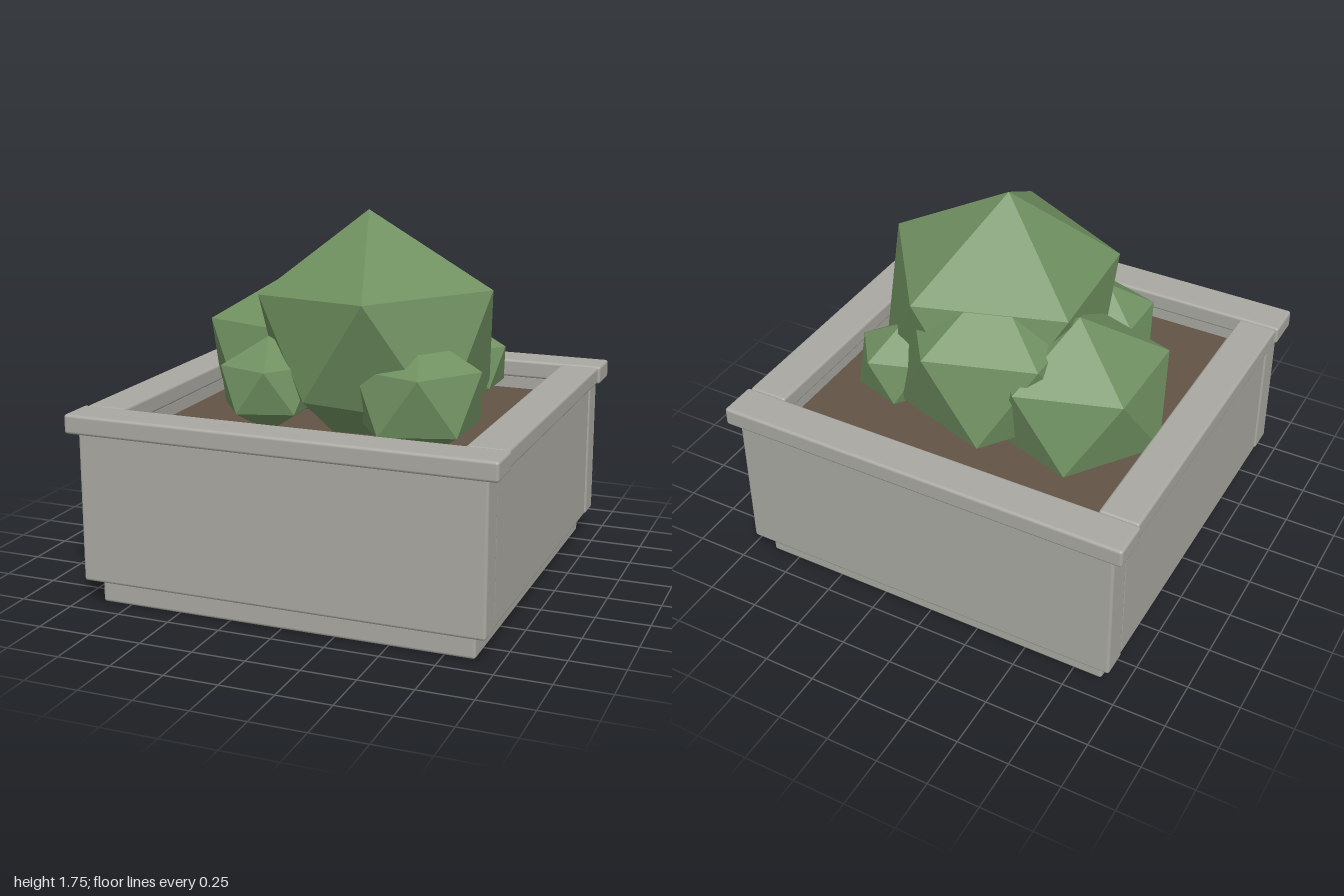
import * as THREE from 'three';
import { RoundedBoxGeometry } from 'three/addons/geometries/RoundedBoxGeometry.js';

const stone = new THREE.MeshStandardMaterial({ color: 0xa9a8a2 });
stone.name = 'stone';
const soilBrown = new THREE.MeshStandardMaterial({ color: 0x625345 });
soilBrown.name = 'soilBrown';
const leafGreen = new THREE.MeshStandardMaterial({ color: 0x6f9060, flatShading: true });
leafGreen.name = 'leafGreen';

// Box with softened edges, given by its min and max corners
function slab(name, [x0, y0, z0], [x1, y1, z1]) {
  const mesh = new THREE.Mesh(
    new RoundedBoxGeometry(x1 - x0, y1 - y0, z1 - z0, 2, 0.014), stone);
  mesh.position.set((x0 + x1) / 2, (y0 + y1) / 2, (z0 + z1) / 2);
  mesh.name = name;
  return mesh;
}

// Twenty-sided clump standing on one corner; pulls scale single corners inwards
// (0 top, 1-5 upper ring, 6-10 lower ring, 11 bottom)
function clump(name, radius, squash, position, pulls = {}) {
  const points = [new THREE.Vector3(0, 1, 0)];
  for (const [h, turn] of [[1, 0], [-1, 0.5]]) {
    for (let i = 0; i < 5; i++) {
      const a = (i + turn) * Math.PI * 0.4;
      points.push(new THREE.Vector3(2 * Math.cos(a), h, 2 * Math.sin(a)).normalize());
    }
  }
  points.push(new THREE.Vector3(0, -1, 0));
  points.forEach((p, i) => p.multiplyScalar(radius * (pulls[i] ?? 1)).multiply(new THREE.Vector3(1, squash, 1)));

  const index = [];
  for (let i = 0; i < 5; i++) {
    const u = 1 + i, uNext = 1 + (i + 1) % 5, l = 6 + i, lNext = 6 + (i + 1) % 5;
    index.push(0, uNext, u, u, uNext, l, l, uNext, lNext, 11, l, lNext);
  }
  const indexed = new THREE.BufferGeometry().setFromPoints(points);
  indexed.setIndex(index);
  const geometry = indexed.toNonIndexed();
  geometry.computeVertexNormals();
  const mesh = new THREE.Mesh(geometry, leafGreen);
  mesh.position.set(...position);
  mesh.name = name;
  return mesh;
}

export function createModel() {
  const model = new THREE.Group();
  model.name = 'planter';

  // Plinth
  model.add(slab('plinth', [-0.89, 0, -0.89], [0.89, 0.14, 0.89]));

  // Walls and rim: long pieces front and back, shorter ones between them
  for (const s of [1, -1]) {
    const end = s > 0 ? 'front' : 'back', side = s > 0 ? 'left' : 'right';
    const span = (a, b) => (s > 0 ? [a, b] : [-b, -a]);
    const [wz0, wz1] = span(0.815, 0.95);
    const [rz0, rz1] = span(0.8, 0.985);
    const [wx0, wx1] = span(0.815, 0.945);
    const [rx0, rx1] = span(0.8, 0.99);
    model.add(
      slab(end + 'Wall', [-0.95, 0.115, wz0], [0.95, 0.82, wz1]),
      slab(end + 'Rim', [-1, 0.81, rz0], [1, 0.9, rz1]),
      slab(side + 'Wall', [wx0, 0.115, -0.815], [wx1, 0.82, 0.815]),
      slab(side + 'Rim', [rx0, 0.813, -0.8], [rx1, 0.898, 0.8]));
  }

  // Soil
  const soil = new THREE.Mesh(new THREE.BoxGeometry(1.64, 0.63, 1.64), soilBrown);
  soil.position.y = 0.435;
  soil.name = 'soil';
  model.add(soil);

  // Bush
  const bush = new THREE.Group();
  bush.name = 'bush';
  bush.add(
    clump('mainClump', 0.67, 0.91, [0.09, 1.14, 0.06], { 3: 0.87, 7: 0.78, 8: 0.78 }),
    clump('rightClump', 0.46, 0.86, [-0.41, 1.0, -0.21]),
    clump('backClump', 0.49, 0.88, [-0.01, 1.08, -0.26]),
    clump('frontRightClump', 0.25, 0.9, [-0.28, 0.965, 0.37]),
    clump('frontLeftClump', 0.33, 0.9, [0.425, 0.96, 0.31]),
    clump('backLeftClump', 0.235, 0.9, [0.42, 0.97, -0.365]));
  model.add(bush);

  return model;
}
